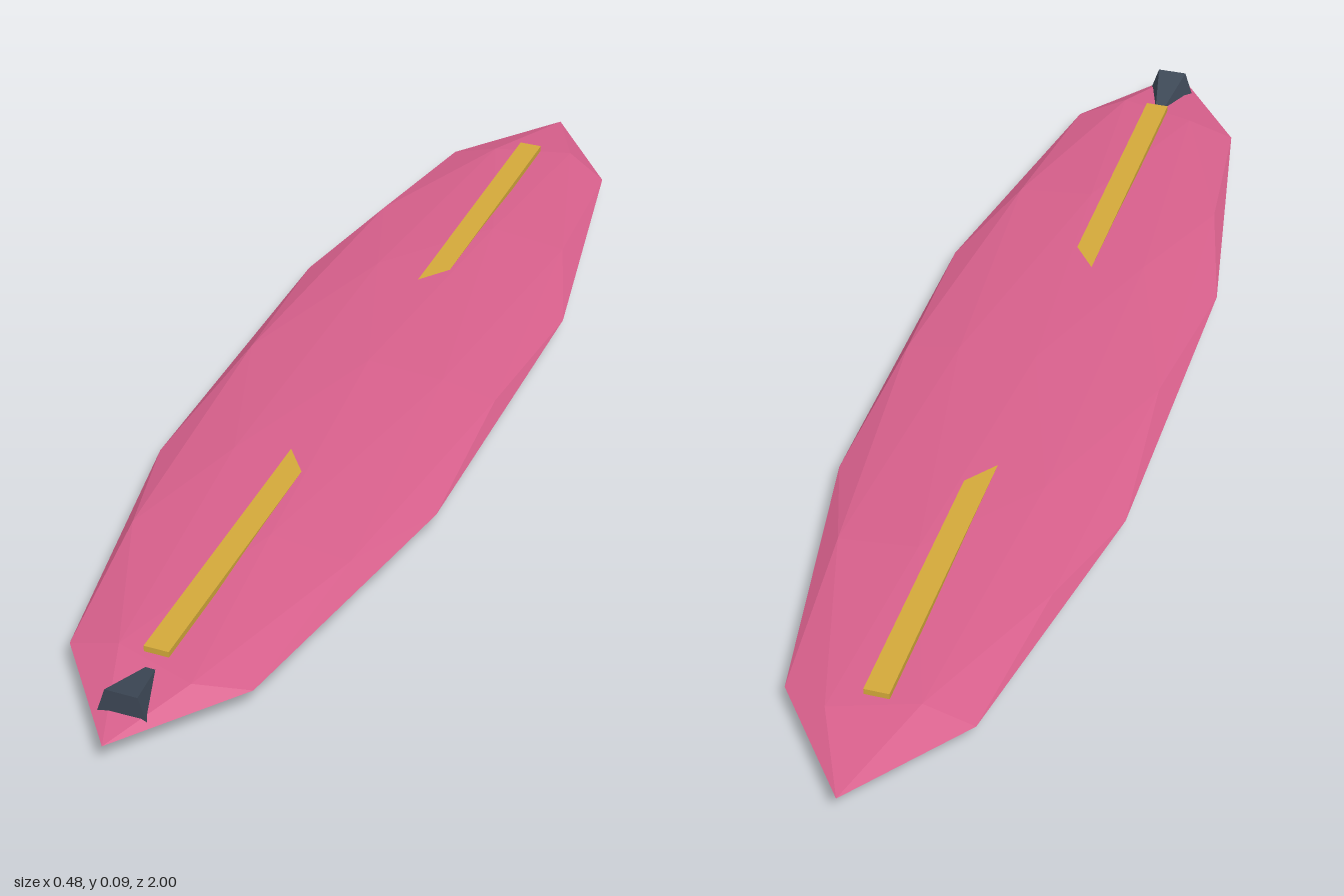
import * as THREE from 'three';

const material = (name, color) => {
  const m = new THREE.MeshStandardMaterial({ color, flatShading: true });
  m.name = name;
  return m;
};

export function createModel() {
  const model = new THREE.Group();
  model.name = 'board';

  const pink = material('pink', 0xd8608c);
  const gold = material('gold', 0xd4a93a);
  const slate = material('slate', 0x3d4856);

  const add = (name, geometry, mat, x, y, z) => {
    const mesh = new THREE.Mesh(geometry, mat);
    mesh.name = name;
    mesh.position.set(x, y, z);
    model.add(mesh);
  };

  // Deck: faceted sphere with a vertex turned to the top, then flattened and stretched
  const golden = (1 + Math.sqrt(5)) / 2;
  const deck = new THREE.IcosahedronGeometry(1, 1);
  deck.rotateZ(-Math.atan(1 / golden));
  deck.scale(0.25, 0.045, 1);
  deck.computeVertexNormals();
  add('deck', deck, pink, 0, 0.045, 0);

  // Stripe: one straight bar, sunk into the crown of the deck in the middle
  add('stripe', new THREE.BoxGeometry(0.04, 0.01, 1.64), gold, 0, 0.0804, 0);

  // Fin: five-sided cone lying along the board, widest toward the tip
  const fin = new THREE.CylinderGeometry(0.044, 0.009, 0.108, 5);
  fin.rotateX(Math.PI / 2);
  add('fin', fin, slate, 0, 0.0545, 0.881);

  return model;
}
